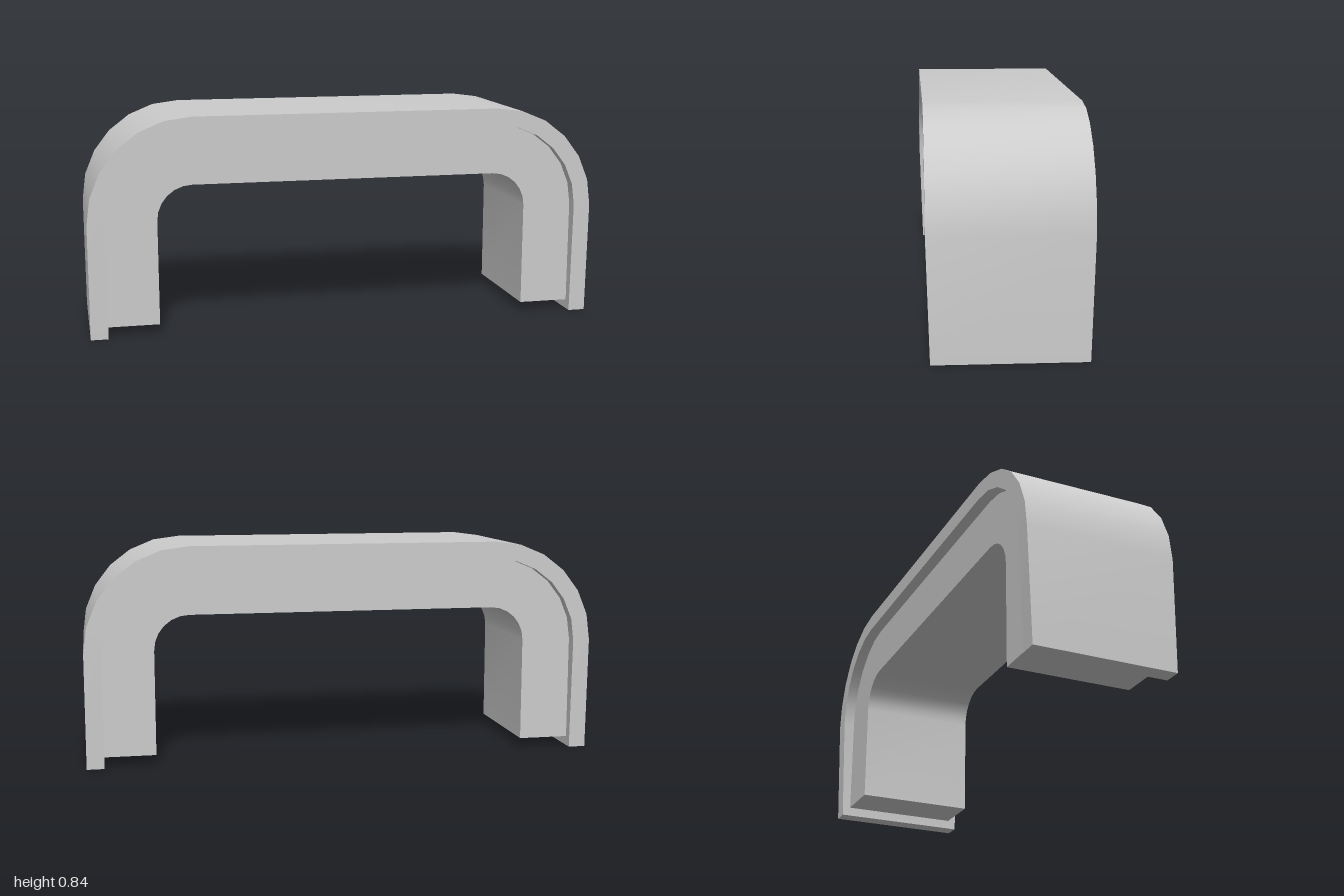
import * as THREE from 'three';
import { toCreasedNormals } from 'three/addons/utils/BufferGeometryUtils.js';

const CX = 0.6, CY = 0.443, STEPS = 6; // bend centre and facets per bend

// Rectangular section swept over an arch: up one leg, around both bends, down the other.
function arch(name, rIn, rOut, footY, footDepth, depth) {
  const stations = [];
  const add = (cx, cy, a, d) => {
    const at = r => [cx + Math.cos(a) * r, cy + Math.sin(a) * r];
    const i = at(rIn), o = at(rOut);
    stations.push([[...i, d], [...o, d], [...o, -d], [...i, -d]]);
  };
  add(CX, footY, 0, footDepth);
  for (const side of [1, -1]) {
    for (let k = 0; k <= STEPS; k++) {
      const a = (k / STEPS + (side < 0 ? 1 : 0)) * Math.PI / 2;
      add(side * CX, CY, a, depth);
    }
  }
  add(-CX, footY, Math.PI, footDepth);

  const pos = [];
  const quad = (a, b, c, d) => pos.push(...a, ...b, ...c, ...a, ...c, ...d);
  for (let s = 0; s < stations.length - 1; s++) {
    const p = stations[s], q = stations[s + 1];
    for (let k = 0; k < 4; k++) {
      const n = (k + 1) % 4;
      quad(p[k], p[n], q[n], q[k]);
    }
  }
  // Feet
  const first = stations[0], last = stations[stations.length - 1];
  quad(first[3], first[2], first[1], first[0]);
  quad(...last);

  const geo = new THREE.BufferGeometry();
  geo.setAttribute('position', new THREE.Float32BufferAttribute(pos, 3));
  const mesh = new THREE.Mesh(
    toCreasedNormals(geo, Math.PI / 6),
    new THREE.MeshStandardMaterial({ color: 0xcccccc })
  );
  mesh.name = name;
  return mesh;
}

export function createModel() {
  const group = new THREE.Group();
  group.name = 'archHandle';
  group.add(
    // Thin outer cover, its legs tapering slightly in depth towards the feet
    arch('outerShell', 0.333, 0.4, 0, 0.273, 0.286),
    // Thick, narrower core nested inside the cover
    arch('innerCore', 0.135, 0.333, 0.037, 0.24, 0.24)
  );
  return group;
}
